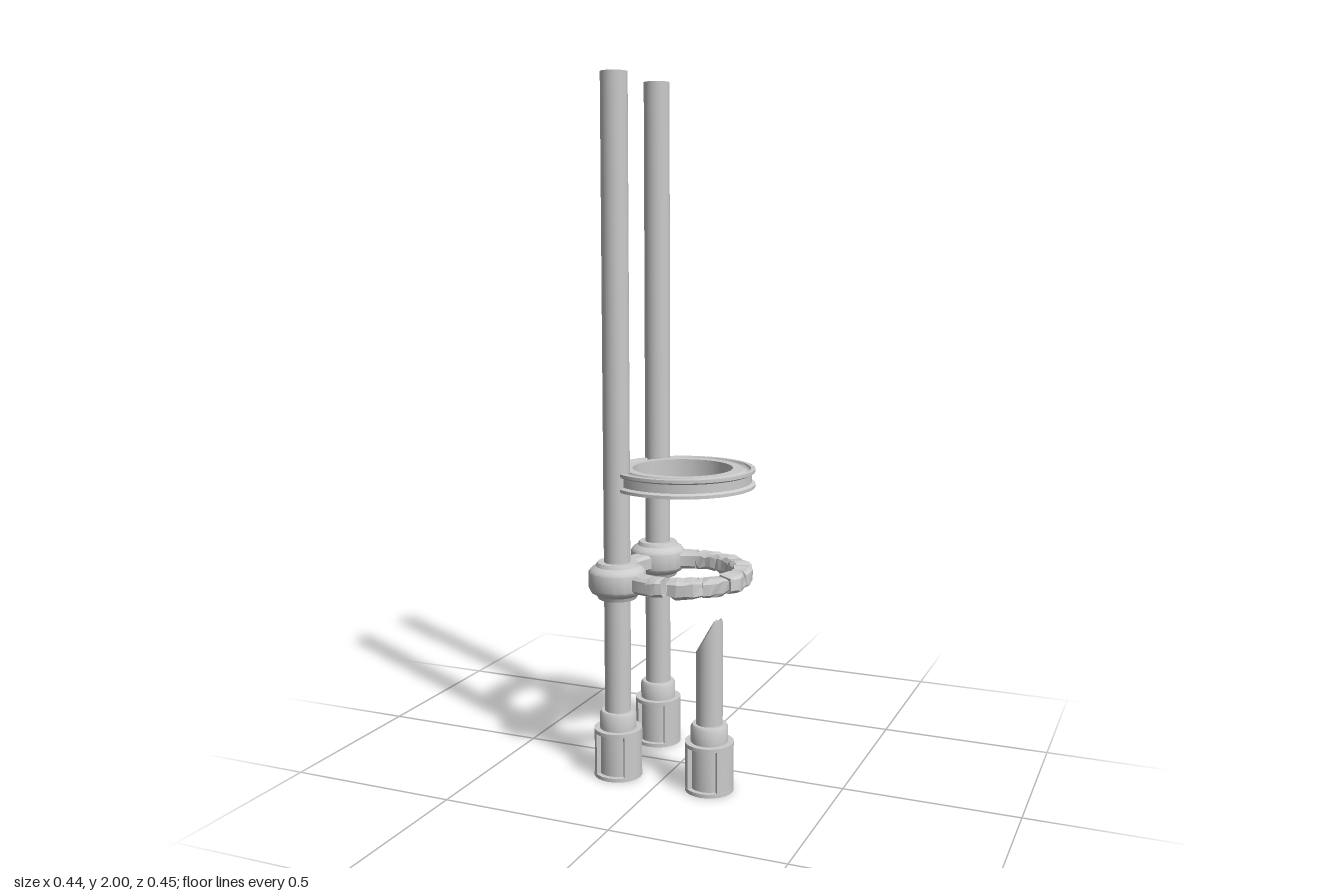
import * as THREE from 'three';
import { toCreasedNormals } from 'three/addons/utils/BufferGeometryUtils.js';

const smooth = new THREE.MeshStandardMaterial({ color: 0xcccccc, side: THREE.DoubleSide });
const faceted = new THREE.MeshStandardMaterial({ color: 0xcccccc, flatShading: true, side: THREE.DoubleSide });

let seed = 11;
const rand = () => (seed = (seed * 16807) % 2147483647) / 2147483647 - 0.5;
const rad = THREE.MathUtils.degToRad;

function part(name, geometry, material = smooth) {
  const mesh = new THREE.Mesh(geometry, material);
  mesh.name = name;
  return mesh;
}

// closed or open turned profile of [radius, height] pairs
function turned(profile, sides) {
  const g = new THREE.LatheGeometry(profile.map(([r, y]) => new THREE.Vector2(r, y)), sides);
  return toCreasedNormals(g, rad(35));
}

// sweeps a counter-clockwise [radius, height] section around the y axis, with capped ends
function arc(section, from, to, steps, rough = 0) {
  const pos = [], idx = [], n = section.length;
  for (let i = 0; i <= steps; i++) {
    const t = i / steps, end = i === 0 || i === steps;
    const a0 = rad(from + (to - from) * t);
    const grow = end && rough ? 0.9 : 1;
    const midR = 0.174, midY = 0.582;
    for (const [r, y] of section) {
      const a = a0 + rand() * rough * (end ? 8 : 3);
      const rr = rough ? midR + (r - midR) * grow + rand() * rough : r;
      const yy = rough ? midY + (y - midY) * grow + rand() * rough : y;
      pos.push(rr * Math.cos(a), yy, rr * Math.sin(a));
    }
  }
  for (let i = 0; i < steps; i++) {
    for (let j = 0; j < n; j++) {
      const a = i * n + j, b = i * n + (j + 1) % n;
      idx.push(a, b, a + n, b, b + n, a + n);
    }
  }
  for (let j = 1; j < n - 1; j++) {
    const e = steps * n;
    idx.push(0, j + 1, j, e, e + j, e + j + 1);
  }
  const g = new THREE.BufferGeometry();
  g.setAttribute('position', new THREE.Float32BufferAttribute(pos, 3));
  g.setIndex(idx);
  g.computeVertexNormals();
  return g;
}

// hollow foot socket: flanges, neck and two curved side plates
function socket() {
  const group = new THREE.Group();
  group.name = 'socket';
  group.add(part('socketBody', turned([
    [0.052, 0], [0.07, 0], [0.07, 0.011], [0.056, 0.011], [0.056, 0.132], [0.07, 0.132], [0.07, 0.143],
    [0.053, 0.143], [0.053, 0.187], [0.048, 0.195], [0.035, 0.195], [0.035, 0.14], [0.05, 0.13], [0.052, 0]
  ], 24)));
  for (const mid of [0, 180]) {
    const plate = arc([[0.054, 0.008], [0.069, 0.008], [0.069, 0.135], [0.054, 0.135]], mid - 50, mid + 50, 10);
    group.add(part('socketPlate', toCreasedNormals(plate, rad(35))));
  }
  return group;
}

// thin tube, open at both ends
function tube(height) {
  const g = new THREE.CylinderGeometry(0.038, 0.038, height, 24, 1, true);
  return g.translate(0, height / 2, 0);
}

export function createModel() {
  const model = new THREE.Group();

  // two tall posts with clamps
  for (const z of [-0.145, 0.145]) {
    const post = new THREE.Group();
    post.name = 'tallPost';
    post.position.set(-0.137, 0, z);
    const pole = part('pole', tube(1.86));
    pole.position.y = 0.14;
    post.add(pole, socket());
    post.add(part('clamp', turned([
      [0.038, 0.53], [0.056, 0.53], [0.06, 0.54], [0.076, 0.55], [0.082, 0.56], [0.082, 0.608],
      [0.076, 0.617], [0.062, 0.625], [0.057, 0.636], [0.038, 0.636], [0.038, 0.53]
    ], 16)));
    model.add(post);
  }

  // snapped post: the top is cut along a steep slope, with a ragged tip
  const broken = new THREE.Group();
  broken.name = 'brokenPost';
  broken.position.set(0.148, 0, 0.145);
  const slope = (x, z) => Math.min(0.39 + (x + 0.038) * 1.75, 0.495) + 0.008 * Math.sin(z * 110);
  const stump = new THREE.CylinderGeometry(0.038, 0.038, 1, 24, 1, true);
  const sp = stump.attributes.position;
  for (let i = 0; i < sp.count; i++) {
    sp.setY(i, sp.getY(i) > 0 ? slope(sp.getX(i), sp.getZ(i)) : 0.14);
  }
  const cut = new THREE.RingGeometry(0, 0.038, 24, 4).rotateX(-Math.PI / 2);
  const cp = cut.attributes.position;
  for (let i = 0; i < cp.count; i++) cp.setY(i, slope(cp.getX(i), cp.getZ(i)));
  broken.add(part('stump', stump), part('snappedEnd', cut, faceted), socket());
  model.add(broken);

  // upper ring with a rounded channel on top and a groove around its rim
  const profile = [[0.145, 0.842], [0.21, 0.842], [0.21, 0.851], [0.2, 0.856], [0.2, 0.881], [0.21, 0.886],
    [0.21, 0.895], [0.197, 0.895]];
  for (let i = 1; i < 6; i++) {
    const a = Math.PI * i / 6;
    profile.push([0.1845 + 0.0125 * Math.cos(a), 0.895 - 0.011 * Math.sin(a)]);
  }
  profile.push([0.172, 0.895], [0.145, 0.895], [0.145, 0.842]);
  const upper = part('upperRing', turned(profile, 64));
  upper.position.x = 0.006;
  model.add(upper);

  // lower ring: two sound arms and a run of cracked chunks
  const lower = new THREE.Group();
  lower.name = 'lowerRing';
  lower.position.x = 0.006;
  const section = [[0.153, 0.557], [0.195, 0.557], [0.204, 0.566], [0.204, 0.598], [0.195, 0.607],
    [0.153, 0.607], [0.145, 0.598], [0.145, 0.566]];
  lower.add(part('soundArm', toCreasedNormals(arc(section, 98, 262, 28), rad(30))));
  const breaks = [-98, -72, -47, -24, 3, 26, 52, 80];
  for (let i = 0; i < breaks.length - 1; i++) {
    lower.add(part('crackedChunk', arc(section, breaks[i] + 0.5, breaks[i + 1] - 0.5, 4, 0.008), faceted));
  }
  lower.add(part('armTip', arc(section, 85, 99, 3, 0.007), faceted));
  model.add(lower);

  return model;
}
